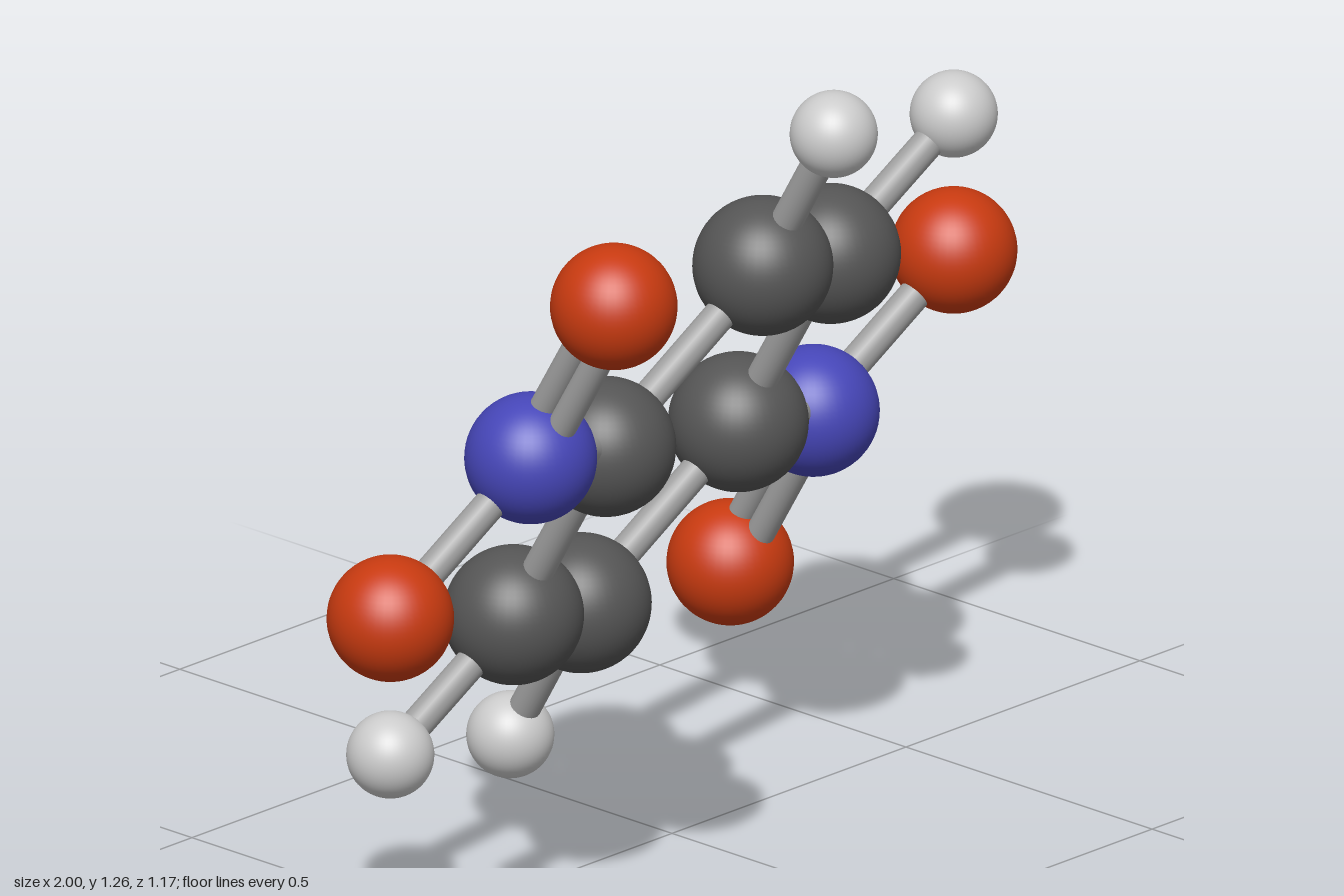
import * as THREE from 'three';

const CENTRE_Y = 0.631;

const ELEMENTS = {
  carbon: { radius: 0.104, color: 0x555555 },
  nitrogen: { radius: 0.098, color: 0x4646b8 },
  oxygen: { radius: 0.094, color: 0xc83a10 },
  hydrogen: { radius: 0.065, color: 0xcccccc },
};

// Half of the molecule, relative to its centre; the rest is its point reflection.
const HALF = [
  ['carbon', -0.31, 0.106, 0.16],
  ['carbon', -0.01, 0.318, 0.194],
  ['carbon', 0.304, 0.21, 0.033],
  ['nitrogen', -0.645, 0.222, 0.326],
  ['oxygen', -0.642, 0.502, 0.492],
  ['oxygen', -0.906, 0.031, 0.289],
  ['hydrogen', -0.012, 0.563, 0.34],
  ['hydrogen', 0.539, 0.373, 0.06],
];

// Bonds inside each half: [from, to, order]
const BONDS = [
  [0, 1, 1], [1, 2, 1], [0, 3, 1], [3, 4, 2], [3, 5, 1], [1, 6, 1], [2, 7, 1],
];

export function createModel() {
  const model = new THREE.Group();
  model.name = 'molecule';
  const bondMaterial = new THREE.MeshStandardMaterial({ color: 0xa0a0a0 });
  const up = new THREE.Vector3(0, 1, 0);

  const addRod = (a, b, radius, name) => {
    const rod = new THREE.Mesh(
      new THREE.CylinderGeometry(radius, radius, a.distanceTo(b), 24), bondMaterial);
    rod.position.copy(a).lerp(b, 0.5);
    rod.quaternion.setFromUnitVectors(up, b.clone().sub(a).normalize());
    rod.name = name;
    model.add(rod);
  };

  const addBond = (a, b, order) => {
    if (order === 1) return addRod(a, b, 0.024, 'singleBond');
    // Two parallel rods, set apart across the bond
    const offset = b.clone().sub(a).cross(new THREE.Vector3(1, 0, 0)).setLength(0.021);
    for (const s of [-1, 1]) {
      addRod(a.clone().addScaledVector(offset, s), b.clone().addScaledVector(offset, s),
        0.022, 'doubleBondRod');
    }
  };

  // Shared ball geometry and material for each element
  const balls = {};
  for (const [name, { radius, color }] of Object.entries(ELEMENTS)) {
    balls[name] = {
      geometry: new THREE.SphereGeometry(radius, 48, 32),
      material: new THREE.MeshStandardMaterial({ color }),
    };
  }

  // Atoms and bonds of both halves
  const halves = [1, -1].map((s) => HALF.map(([, x, y, z]) =>
    new THREE.Vector3(s * x, CENTRE_Y + s * y, s * z)));
  for (const points of halves) {
    points.forEach((p, i) => {
      const element = HALF[i][0];
      const atom = new THREE.Mesh(balls[element].geometry, balls[element].material);
      atom.position.copy(p);
      atom.name = element + 'Atom';
      model.add(atom);
    });
    for (const [i, j, order] of BONDS) addBond(points[i], points[j], order);
  }

  // Two bonds closing the ring between the halves
  addBond(halves[0][2], halves[1][0], 1);
  addBond(halves[1][2], halves[0][0], 1);

  return model;
}
